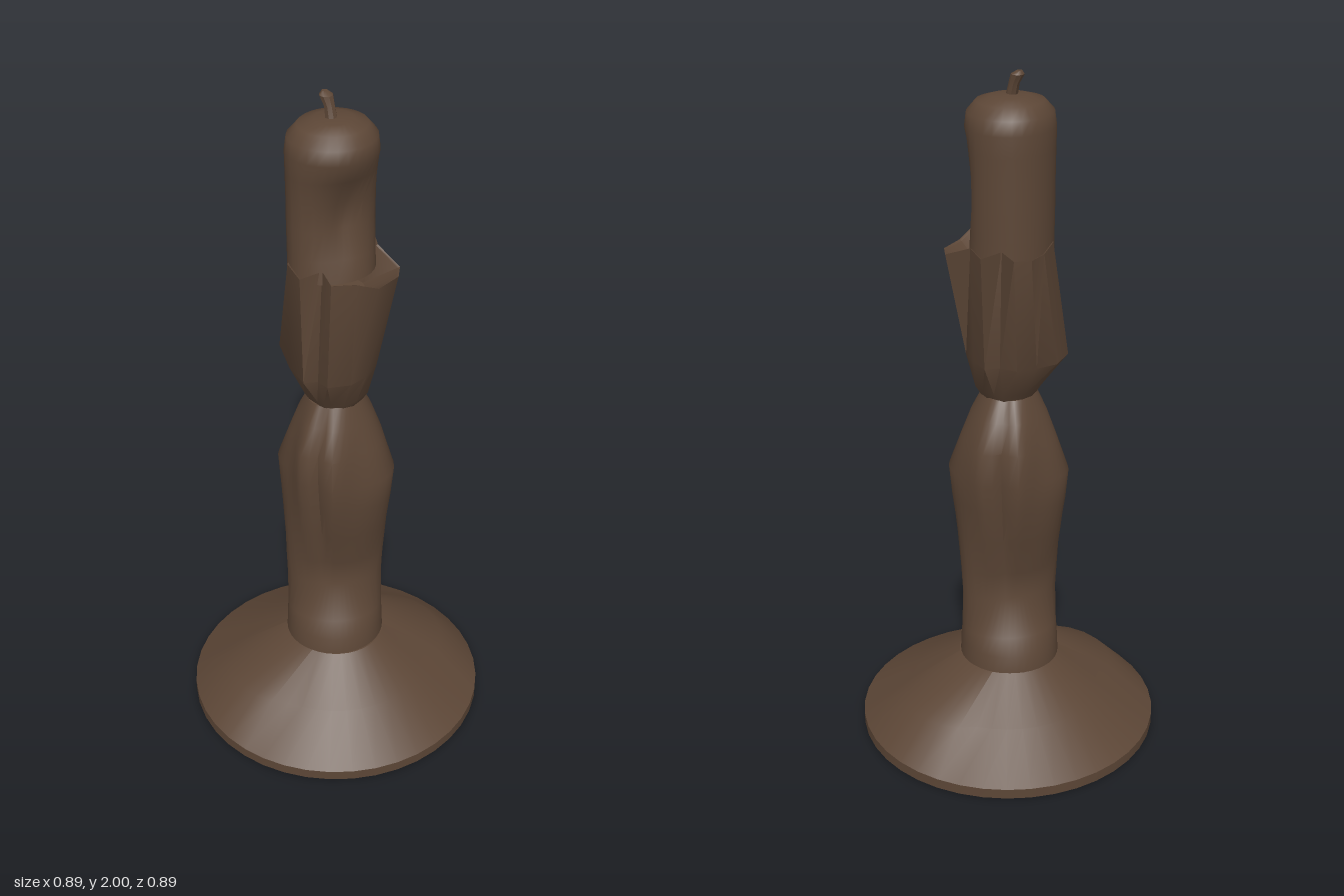
import * as THREE from 'three';
import { toCreasedNormals } from 'three/addons/utils/BufferGeometryUtils.js';

// Skin a stack of closed rings (each a list of [x, y, z]), bottom to top.
function loft(rings, crease = 0.7) {
  const n = rings[0].length, pos = [];
  for (let r = 0; r < rings.length - 1; r++) {
    for (let i = 0; i < n; i++) {
      const j = (i + 1) % n;
      const a = rings[r][i], b = rings[r][j], c = rings[r + 1][i], d = rings[r + 1][j];
      pos.push(...a, ...c, ...b, ...b, ...c, ...d);
    }
  }
  const g = new THREE.BufferGeometry();
  g.setAttribute('position', new THREE.Float32BufferAttribute(pos, 3));
  return toCreasedNormals(g, crease);
}

// Ring of n points; radius may depend on the angle.
function ring(n, y, radius, cx = 0, cz = 0) {
  return Array.from({ length: n }, (_, i) => {
    const t = (i / n) * Math.PI * 2;
    const r = typeof radius === 'function' ? radius(t) : radius;
    return [cx + r * Math.cos(t), y, cz + r * Math.sin(t)];
  });
}

// Smooth one-sided bump around angle a.
const bump = (t, a, power) => Math.max(0, Math.cos(t - a)) ** power;

// Stem section: ellipse turned by phi, flattened on three diagonals, with narrow folds front and back.
const stemSection = (a, b, phi, flat, fold) => (t) =>
  (a * b) / Math.hypot(b * Math.cos(t - phi), a * Math.sin(t - phi))
  * (1 - flat * (Math.sin(2 * t) ** 2 - 0.5 * bump(t, -Math.PI / 4, 6) + 0.4 * bump(t, Math.PI * 0.75, 6)))
  * (1 - fold * Math.abs(Math.sin(t)) ** 60);

export function createModel() {
  const model = new THREE.Group();
  const brown = new THREE.MeshStandardMaterial({ color: 0x5c4636, side: THREE.DoubleSide });
  const add = (name, geometry) => {
    const mesh = new THREE.Mesh(geometry, brown);
    mesh.name = name;
    model.add(mesh);
  };

  // Conical foot with two raised ridges
  const ridge = (t) => 0.29 + 0.055 * Math.max(0, Math.abs(Math.cos(t + Math.PI / 4)) - 0.8) / 0.2;
  add('foot', loft([
    ring(40, 0.005, 0), ring(40, 0, 0.443), ring(40, 0.03, 0.443),
    ring(40, 0.13, ridge), ring(40, 0.23, 0.147), ring(40, 0.24, 0),
  ], 0.5));

  // Stem: height, half axes, turn, flattening and fold of each cross-section
  const stem = [
    [0.225, 0.147, 0.147, -0.4, 0, 0], [0.28, 0.145, 0.14, -0.42, 0, 0],
    [0.33, 0.143, 0.115, -0.42, 0, 0], [0.44, 0.143, 0.064, -0.43, 0, 0],
    [0.53, 0.146, 0.08, -0.42, 0, 0.08], [0.65, 0.154, 0.122, -0.35, 0.04, 0.15],
    [0.76, 0.166, 0.154, -0.2, 0.1, 0.2], [0.85, 0.174, 0.172, 0, 0.14, 0.22],
    [0.95, 0.17, 0.138, 1.57, 0.12, 0.2], [1.03, 0.128, 0.108, 1.57, 0.08, 0.15],
    [1.09, 0.085, 0.078, 1.57, 0, 0.1],
  ];
  add('stem', loft([
    ...stem.map(([y, ...section]) => ring(40, y, stemSection(...section), -0.004)),
    ring(40, 1.09, 0),
  ], 0.9));

  // Petal cup: outline at the rim and at the belly, folded inwards between petals
  const rim = [
    [0.178, 0], [0.15, 0.08], [0.11, 0.14], [0.05, 0.17], [0, 0.105], [-0.04, 0.165],
    [-0.1, 0.1], [-0.125, 0], [-0.115, -0.1], [-0.09, -0.16], [-0.045, -0.175],
    [0, -0.105], [0.045, -0.17], [0.088, -0.088], [0.165, -0.05],
  ];
  const belly = [
    [0.12, 0], [0.115, 0.07], [0.09, 0.125], [0.035, 0.16], [0, 0.14], [-0.035, 0.16],
    [-0.1, 0.1], [-0.17, 0], [-0.15, -0.08], [-0.1, -0.12], [-0.05, -0.15],
    [0, -0.135], [0.04, -0.15], [0.08, -0.1], [0.11, -0.05],
  ];
  const rimY = ([x]) => (x > 0.14 ? 1.5 : 1.535);
  const neck = (y, r) => belly.map(([x, z]) => {
    const k = r / Math.hypot(x, z);
    return [x * k, y, z * k];
  });
  add('petalCup', loft([
    neck(1.085, 0), neck(1.085, 0.08), neck(1.11, 0.095),
    belly.map(([x, z]) => [x, 1.21, z]),
    rim.map((p) => [p[0], rimY(p), p[1]]),
    rim.map((p) => [p[0] * 0.96, rimY(p) - 0.003, p[1] * 0.96]),
    neck(1.42, 0.085), neck(1.42, 0),
  ], 0.6));

  // Candle bulging at the front right, with a hollow melted into its front left side
  const candleRadius = (base, hollow) => (t) => base
    * (1 + 0.1 * bump(t, Math.PI * 0.75, 3)) - hollow * bump(t, Math.PI / 4, 1.5);
  const candle = [
    [1.5, 0.117, 0.02], [1.56, 0.117, 0.035], [1.64, 0.118, 0.072], [1.71, 0.118, 0.066],
    [1.79, 0.119, 0.03], [1.85, 0.12, 0], [1.89, 0.115, 0], [1.92, 0.09, 0], [1.933, 0.05, 0],
  ];
  add('candle', loft([
    ring(28, 1.5, 0, -0.002, 0.008),
    ...candle.map(([y, r, d]) => ring(28, y, candleRadius(r, d), -0.002, 0.008)),
    ring(28, 1.937, 0, -0.002, 0.008),
  ]));

  // Leaning wick
  add('wick', loft([
    ring(8, 1.92, 0.017, -0.005, 0.015), ring(8, 1.965, 0.015, -0.015, 0.008),
    ring(8, 1.99, 0.019, -0.025, 0.004), ring(8, 2, 0.008, -0.03, 0.002),
    ring(8, 2, 0, -0.03, 0.002),
  ]));

  return model;
}
